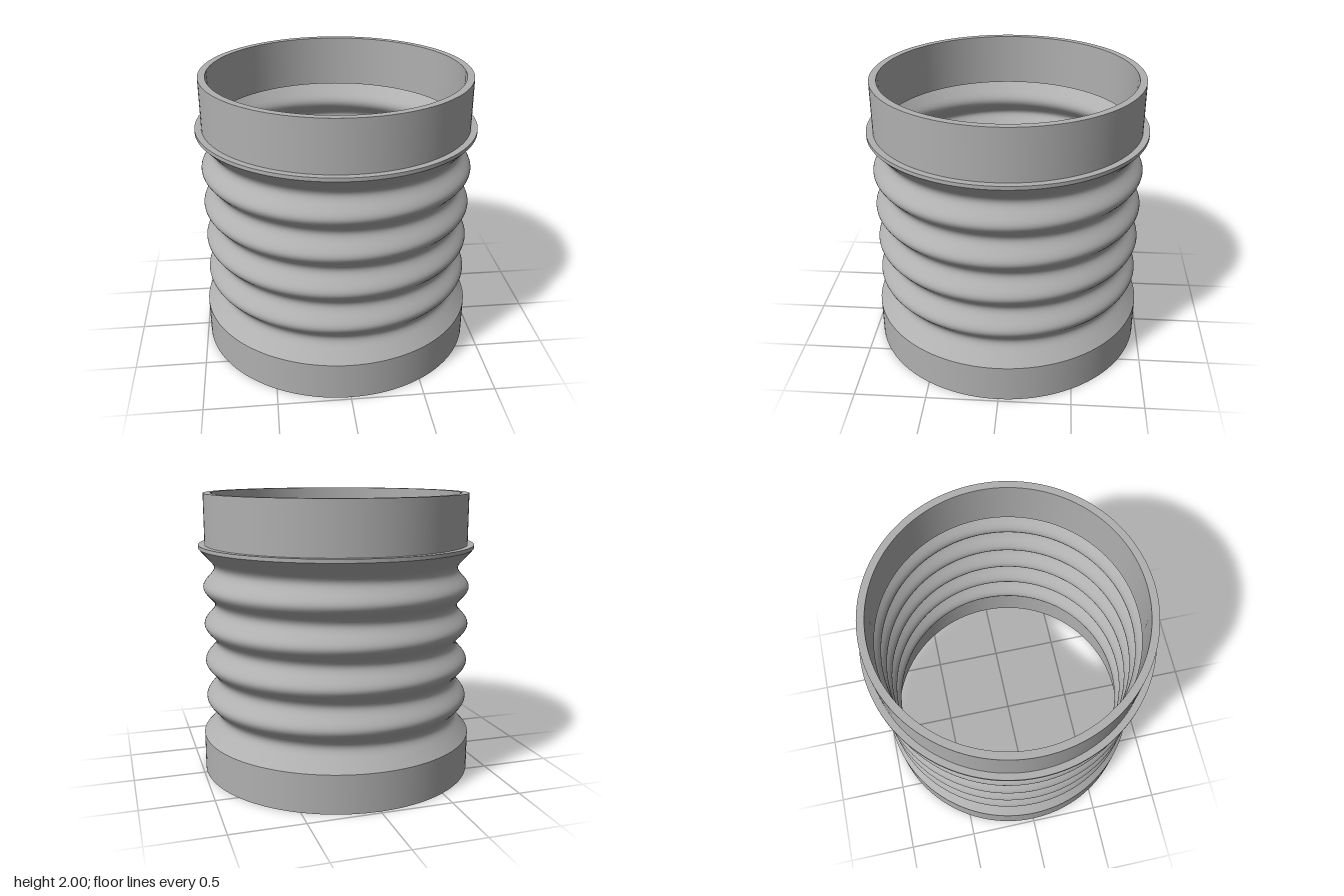
import * as THREE from 'three';

const SEGMENTS = 128;
const V = (x, y) => new THREE.Vector2(x, y);

export function createModel() {
  const model = new THREE.Group();
  const grey = new THREE.MeshStandardMaterial({ color: 0xb0b0b0 });
  grey.name = 'grey';

  // Revolves a profile; upward profiles face outward, downward ones inward.
  function revolve(parent, name, points) {
    const mesh = new THREE.Mesh(new THREE.LatheGeometry(points, SEGMENTS), grey);
    mesh.name = name;
    parent.add(mesh);
  }

  // Each straight run is its own surface so the collar corners stay sharp.
  function collar(name, points) {
    const group = new THREE.Group();
    group.name = name;
    for (let i = 0; i < points.length - 1; i++) {
      revolve(group, name + 'Face', [points[i], points[i + 1]]);
    }
    model.add(group);
  }

  collar('bottomCollar', [
    V(0.965, 0.262), V(0.93, 0.25), V(0.93, 0), V(0.98, 0), V(0.98, 0.27),
  ]);
  collar('topCollarAndFlange', [
    V(0.98, 1.62), V(0.98, 1.645), V(0.935, 1.645), V(0.935, 2),
    V(0.885, 2), V(0.885, 1.632), V(0.965, 1.622),
  ]);

  // Bellows: cosine folds between straight flares at both ends.
  const firstValley = 0.41, pitch = 0.2675, folds = 4, steps = 20;
  const outer = [V(0.98, 0.27)];
  for (let i = -steps / 4; i <= (folds + 0.25) * steps; i++) {
    const t = i / steps;
    outer.push(V(0.914 - 0.04 * Math.cos(2 * Math.PI * t), firstValley + pitch * t));
  }
  outer.push(V(0.98, 1.62));

  // The lining follows the folds at a constant wall thickness.
  const wall = 0.012;
  const inner = outer.map((p, i) => {
    const a = outer[Math.max(i - 1, 0)];
    const b = outer[Math.min(i + 1, outer.length - 1)];
    const d = b.clone().sub(a).normalize();
    return V(p.x - d.y * wall, p.y + d.x * wall);
  }).reverse();
  const bellows = new THREE.Group();
  bellows.name = 'bellows';
  revolve(bellows, 'bellowsOutside', outer);
  revolve(bellows, 'bellowsInside', inner);
  model.add(bellows);

  return model;
}
